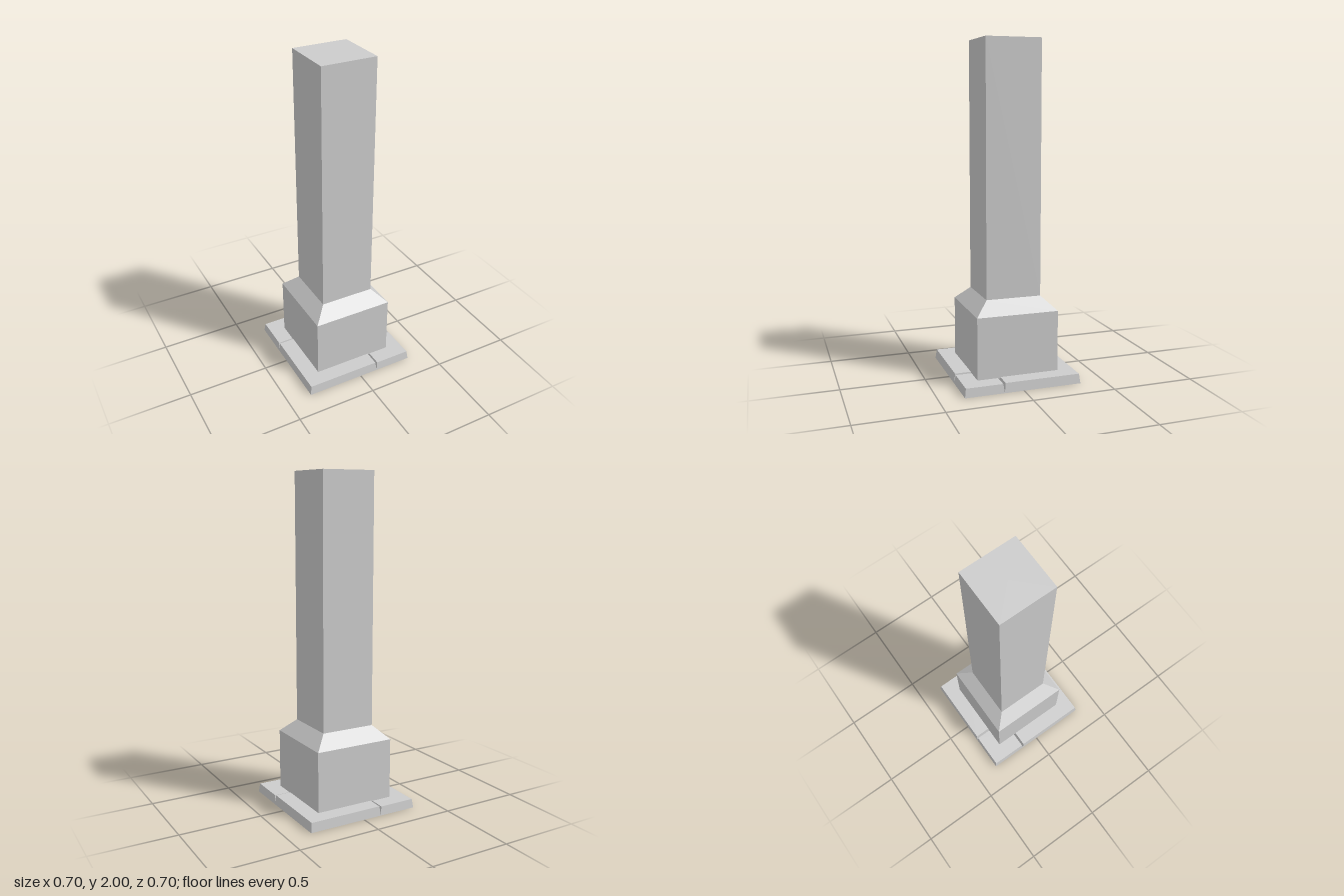
import * as THREE from 'three';

const material = new THREE.MeshStandardMaterial({ color: 0xcccccc, flatShading: true, side: THREE.DoubleSide });

// Square-section solid from a [half width, height] profile
function squareLathe(profile) {
  const points = profile.map(([half, y]) => new THREE.Vector2(half * Math.SQRT2, y));
  return new THREE.LatheGeometry(points, 4, Math.PI / 4);
}

// Hollow L-shaped paving slab with tapered outer and end walls, open underneath
function slabGeometry(end, height) {
  const outer = 0.352, inner = 0.2, taper = 0.007;
  const outline = (o, e, y) => [
    [e, y, o], [o, y, o], [o, y, e], [inner, y, e], [inner, y, inner], [e, y, inner],
  ];
  const bottom = outline(outer, end, 0);
  const top = outline(outer - taper, end + taper, height);
  const positions = [];
  const quad = (a, b, c, d) => positions.push(...a, ...b, ...c, ...a, ...c, ...d);
  for (let i = 0; i < 6; i++) {
    const j = (i + 1) % 6;
    quad(bottom[i], bottom[j], top[j], top[i]);
  }
  quad(top[0], top[1], top[4], top[5]);
  quad(top[1], top[2], top[3], top[4]);
  const geometry = new THREE.BufferGeometry();
  geometry.setAttribute('position', new THREE.Float32BufferAttribute(positions, 3));
  geometry.computeVertexNormals();
  return geometry;
}

export function createModel() {
  const group = new THREE.Group();
  const add = (name, geometry) => {
    const mesh = new THREE.Mesh(geometry, material);
    mesh.name = name;
    group.add(mesh);
    return mesh;
  };

  // Plinth with sloped shoulder and a recess in its underside
  add('plinth', squareLathe([
    [0, 0.25], [0.14, 0.25], [0.14, 0.05], [0.248, 0.05], [0.248, 0.42], [0.167, 0.5],
  ]));

  // Square shaft
  add('shaft', squareLathe([[0.167, 0.5], [0.167, 2], [0, 2]]));

  // Paving: two small corner slabs and two long ones, in opposite pairs
  const small = slabGeometry(0.117, 0.053);
  const large = slabGeometry(-0.117, 0.057);
  for (const side of [1, -1]) {
    add('smallCornerSlab', small).scale.set(side, 1, side);
    add('largeCornerSlab', large).scale.set(-side, 1, side);
  }
  return group;
}
